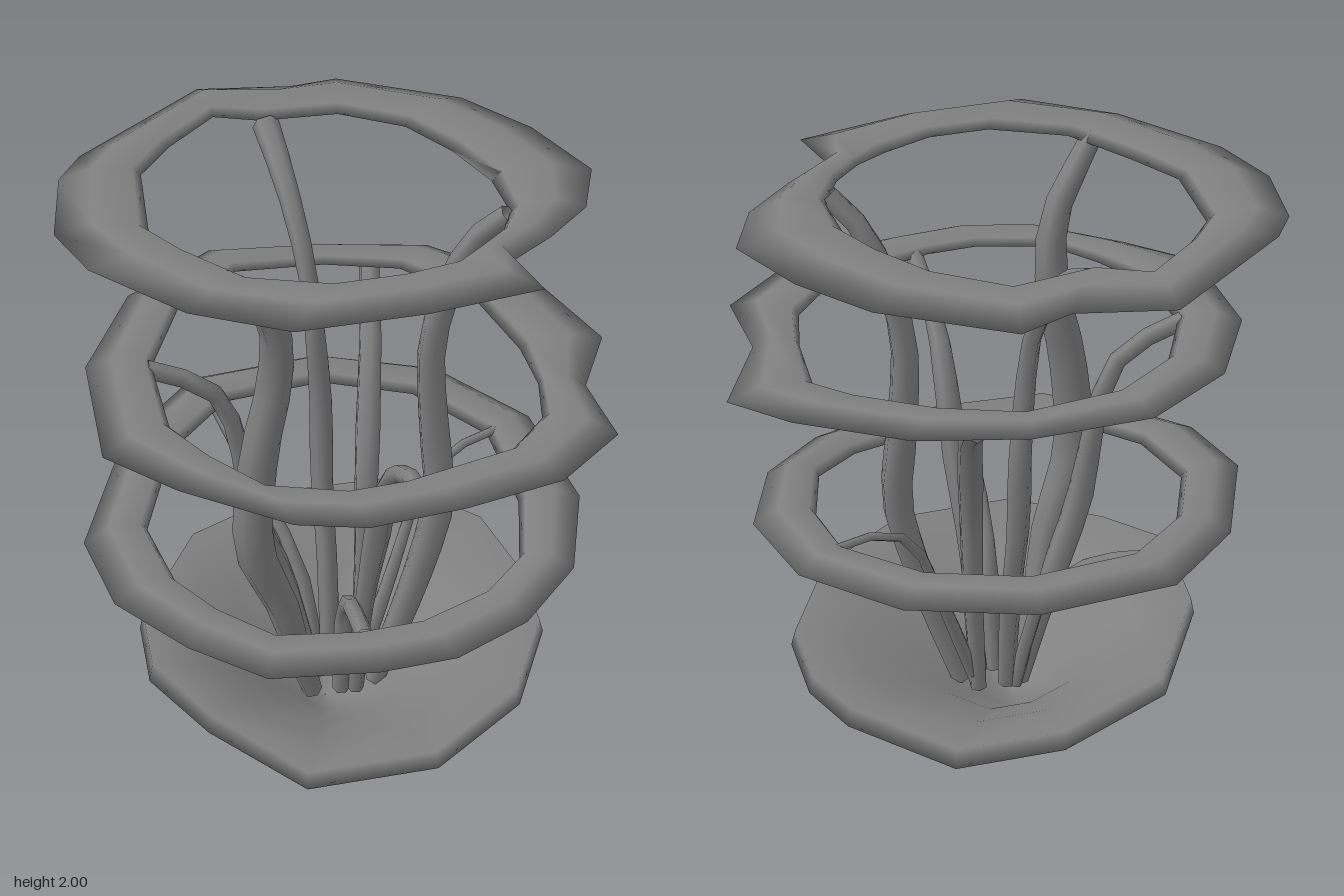
import * as THREE from 'three';

const material = new THREE.MeshStandardMaterial({ color: 0x808080, side: THREE.DoubleSide });

// Smooth skin over equal-length rows of points; columns always close, rows close on request.
function loft(rows, closeRows) {
  const n = rows[0].length, index = [];
  const last = closeRows ? rows.length : rows.length - 1;
  for (let i = 0; i < last; i++) {
    for (let j = 0; j < n; j++) {
      const k = (i + 1) % rows.length, m = (j + 1) % n;
      const a = i * n + j, b = i * n + m, c = k * n + j, d = k * n + m;
      index.push(a, c, b, b, c, d);
    }
  }
  const geometry = new THREE.BufferGeometry();
  geometry.setAttribute('position', new THREE.Float32BufferAttribute(rows.flat(2), 3));
  geometry.setIndex(index);
  geometry.computeVertexNormals();
  return geometry;
}

// Uneven flat ring; each spec is [outer x, outer z, inner x, inner z, height], going from +x towards +z.
function ringGeometry(specs, half) {
  const rows = specs.map(([ox, oz, ix, iz, y]) => {
    const at = (t, dy) => [ix + (ox - ix) * t, y + dy, iz + (oz - iz) * t];
    return [at(1, -half * 0.4), at(0.6, half), at(0.1, half * 0.7), at(0, -half * 0.3), at(0.45, -half)];
  });
  return loft(rows, true);
}

// Tapering branch along a curve, with a radius for each point of its path.
function branchGeometry(path, radii) {
  const curve = new THREE.CatmullRomCurve3(path.map((p) => new THREE.Vector3(...p)));
  const steps = (path.length - 1) * 2, sides = 6;
  const geometry = new THREE.TubeGeometry(curve, steps, 1, sides);
  const pos = geometry.attributes.position, v = new THREE.Vector3();
  for (let i = 0; i <= steps; i++) {
    const centre = curve.getPointAt(i / steps);
    const f = (i / steps) * (radii.length - 1);
    const k = Math.min(Math.floor(f), radii.length - 2);
    const r = THREE.MathUtils.lerp(radii[k], radii[k + 1], f - k);
    for (let j = 0; j <= sides; j++) {
      const id = i * (sides + 1) + j;
      v.fromBufferAttribute(pos, id).sub(centre).multiplyScalar(r).add(centre);
      pos.setXYZ(id, v.x, v.y, v.z);
    }
  }
  return geometry;
}

// Bowl: an uneven rim (x, y, z) scaled down to a small foot, outside and inside.
const rim = [
  [0.7, 0.33, 0.05], [0.56, 0.33, 0.43], [0.25, 0.33, 0.72], [-0.18, 0.33, 0.78],
  [-0.48, 0.38, 0.52], [-0.66, 0.42, 0.28], [-0.68, 0.38, -0.05], [-0.48, 0.38, -0.5],
  [-0.1, 0.38, -0.74], [0.26, 0.38, -0.78], [0.57, 0.38, -0.5], [0.67, 0.34, -0.25],
];
function bowlGeometry() {
  const layer = (t, h, lift) => rim.map(([x, y, z]) =>
    [x * t - 0.05 * (1 - t), y * h + lift, z * t + 0.01 * (1 - t)]);
  return loft([
    layer(0.001, 0, 0), layer(0.15, 0.05, 0), layer(0.43, 0.43, 0), layer(0.7, 0.72, 0),
    layer(1, 0.86, 0), layer(0.98, 1, 0.01),
    layer(0.68, 0.77, 0.02), layer(0.4, 0.46, 0.02), layer(0.13, 0.07, 0.02), layer(0.001, 0.03, 0.02),
  ], false);
}

const rings = {
  topRing: [0.028, [
    [0.77, 0.02, 0.53, 0.03, 1.945], [0.63, 0.2, 0.48, 0.18, 1.95], [0.5, 0.33, 0.4, 0.28, 1.955],
    [0.56, 0.51, 0.3, 0.36, 1.955], [0.2, 0.63, 0.15, 0.43, 1.965], [-0.2, 0.69, -0.05, 0.46, 1.965],
    [-0.5, 0.54, -0.3, 0.39, 1.955], [-0.78, 0.25, -0.47, 0.2, 1.945], [-0.88, 0.02, -0.59, 0.04, 1.94],
    [-0.86, -0.3, -0.6, -0.3, 1.955], [-0.79, -0.44, -0.5, -0.47, 1.96], [-0.39, -0.86, -0.35, -0.65, 1.965],
    [-0.08, -0.84, -0.2, -0.6, 1.97], [0.08, -0.91, 0.06, -0.65, 1.955], [0.48, -0.72, 0.27, -0.53, 1.96],
    [0.68, -0.5, 0.4, -0.36, 1.955], [0.83, -0.22, 0.5, -0.17, 1.945]]],
  middleRing: [0.026, [
    [0.88, -0.13, 0.6, -0.08, 1.365], [0.77, 0.18, 0.62, 0.16, 1.385], [0.82, 0.47, 0.6, 0.36, 1.39],
    [0.61, 0.71, 0.47, 0.55, 1.4], [0.3, 0.83, 0.12, 0.7, 1.405], [0, 0.9, -0.05, 0.73, 1.405],
    [-0.22, 0.87, -0.3, 0.68, 1.41], [-0.55, 0.67, -0.44, 0.52, 1.415], [-0.77, 0.48, -0.56, 0.34, 1.42],
    [-0.81, 0, -0.6, 0.02, 1.44], [-0.66, -0.38, -0.5, -0.28, 1.465], [-0.38, -0.63, -0.3, -0.48, 1.475],
    [0, -0.66, 0, -0.53, 1.455], [0.36, -0.62, 0.25, -0.47, 1.46], [0.7, -0.4, 0.48, -0.3, 1.43]]],
  lowerRing: [0.032, [
    [0.81, 0, 0.6, 0.02, 0.825], [0.73, 0.36, 0.56, 0.3, 0.8], [0.54, 0.6, 0.42, 0.46, 0.78],
    [0.3, 0.74, 0.2, 0.57, 0.765], [0.05, 0.78, 0, 0.6, 0.76], [-0.3, 0.79, -0.26, 0.6, 0.77],
    [-0.54, 0.63, -0.43, 0.47, 0.785], [-0.76, 0.41, -0.56, 0.32, 0.805], [-0.85, 0.1, -0.64, 0.05, 0.825],
    [-0.7, -0.4, -0.54, -0.31, 0.885], [-0.45, -0.71, -0.34, -0.55, 0.915], [0, -0.81, 0, -0.63, 0.92],
    [0.41, -0.7, 0.31, -0.54, 0.91], [0.7, -0.41, 0.54, -0.31, 0.88]]],
};

const branches = {
  // Stems rising to the top ring
  leftStem: [[[-0.1, 0.1, 0.06], [-0.16, 0.35, 0.13], [-0.21, 0.58, 0.19], [-0.3, 0.85, 0.24],
    [-0.28, 1.2, 0.23], [-0.22, 1.5, 0.21], [-0.23, 1.72, 0.25], [-0.3, 1.85, 0.3], [-0.38, 1.95, 0.38]],
  [0.035, 0.045, 0.055, 0.065, 0.065, 0.06, 0.055, 0.045, 0.035]],
  rightStem: [[[0.12, 0.1, 0.02], [0.2, 0.35, 0.03], [0.28, 0.62, 0.03], [0.33, 0.85, 0.02],
    [0.31, 1.15, 0], [0.3, 1.45, 0], [0.36, 1.7, 0.01], [0.42, 1.84, 0.03], [0.52, 1.95, 0.07]],
  [0.035, 0.045, 0.05, 0.055, 0.055, 0.05, 0.045, 0.04, 0.035]],
  backStem: [[[-0.03, 0.1, -0.03], [-0.03, 0.5, -0.11], [-0.04, 0.82, -0.19], [-0.04, 1.1, -0.22],
    [-0.06, 1.4, -0.21], [-0.08, 1.6, -0.25], [-0.13, 1.82, -0.4], [-0.18, 1.94, -0.62]],
  [0.03, 0.035, 0.035, 0.04, 0.035, 0.03, 0.035, 0.045]],
  // Stems rising to the middle ring
  leftMiddleStem: [[[-0.08, 0.1, -0.02], [-0.18, 0.5, -0.03], [-0.28, 0.8, 0], [-0.33, 1.1, 0],
    [-0.38, 1.28, 0.01], [-0.46, 1.36, 0.02], [-0.62, 1.43, 0.03]],
  [0.03, 0.035, 0.045, 0.045, 0.035, 0.03, 0.03]],
  backMiddleStem: [[[0.07, 0.1, -0.04], [0.09, 0.5, -0.06], [0.1, 0.85, -0.09], [0.12, 1.1, -0.21],
    [0.14, 1.28, -0.35], [0.16, 1.44, -0.58]],
  [0.03, 0.035, 0.04, 0.045, 0.04, 0.035]],
  frontMiddleStem: [[[0.05, 0.1, 0.06], [0.07, 0.5, 0.13], [0.1, 0.85, 0.22], [0.12, 1.1, 0.31],
    [0.13, 1.25, 0.44], [0.15, 1.34, 0.56], [0.17, 1.4, 0.74]],
  [0.03, 0.03, 0.035, 0.045, 0.04, 0.03, 0.03]],
  // Thin branches reaching the lower ring
  frontLowerBranch: [[[0, 0.1, 0.06], [0.01, 0.48, 0.12], [0.01, 0.64, 0.3], [0.02, 0.76, 0.62]],
    [0.03, 0.035, 0.03, 0.03]],
  backLeftLowerBranch: [[[-0.06, 0.1, -0.04], [-0.13, 0.5, -0.14], [-0.25, 0.72, -0.28], [-0.38, 0.91, -0.55]],
    [0.025, 0.025, 0.02, 0.025]],
  backRightLowerBranch: [[[0.07, 0.1, -0.03], [0.2, 0.5, -0.1], [0.3, 0.78, -0.17], [0.4, 0.87, -0.22], [0.57, 0.89, -0.31]],
    [0.025, 0.025, 0.02, 0.015, 0.015]],
};

export function createModel() {
  const group = new THREE.Group();
  const add = (name, geometry) => {
    const mesh = new THREE.Mesh(geometry, material);
    mesh.name = name;
    group.add(mesh);
  };
  add('bowl', bowlGeometry());
  for (const [name, [half, specs]] of Object.entries(rings)) add(name, ringGeometry(specs, half));
  for (const [name, [path, radii]] of Object.entries(branches)) add(name, branchGeometry(path, radii));
  return group;
}
